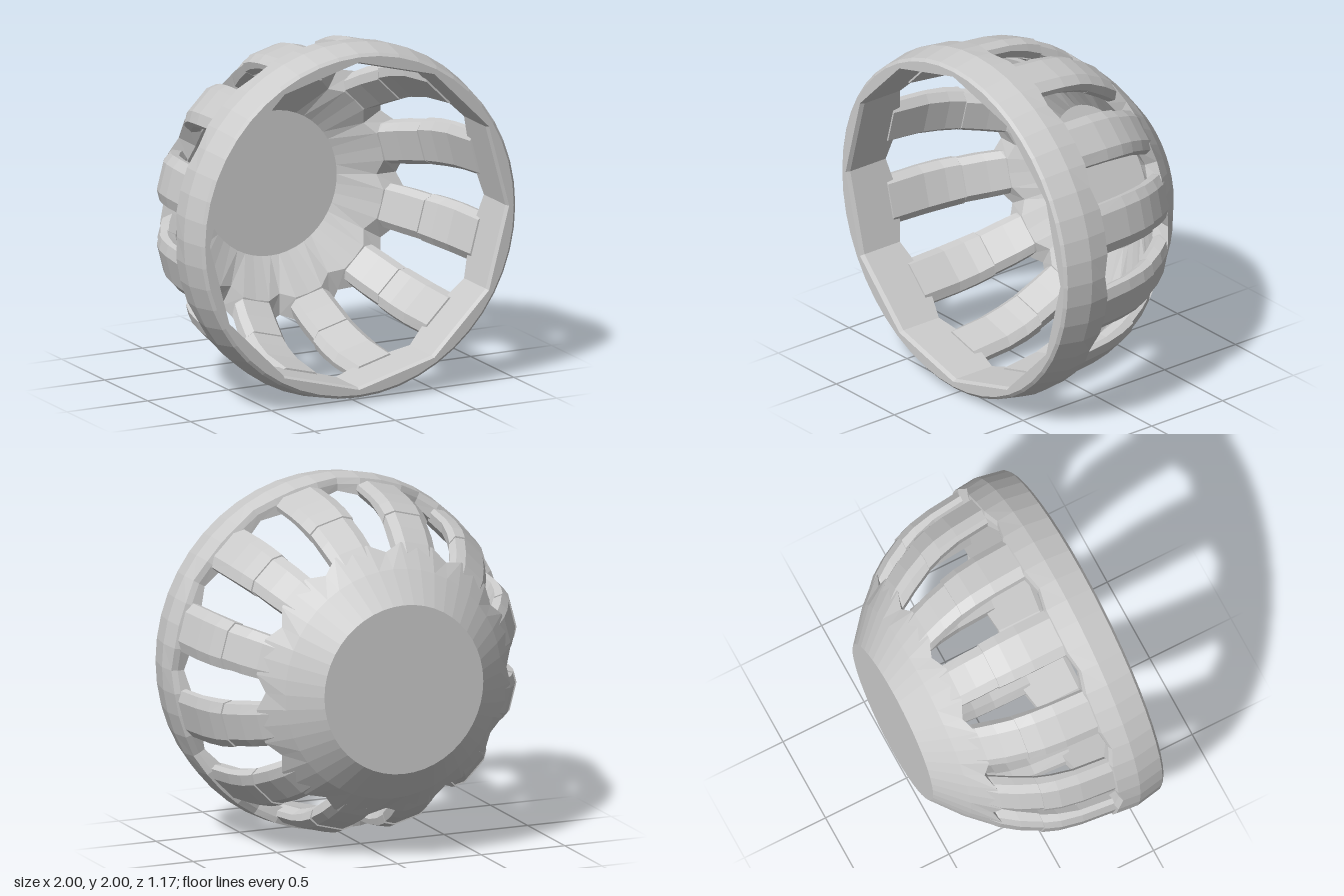
import * as THREE from 'three';

const RIBS = 12, STEPS = 48, CY = 1;
const STEP = (Math.PI * 2) / RIBS;
const material = new THREE.MeshStandardMaterial({ color: 0xcccccc, flatShading: true });

// Skin a row of cross-section loops; wrap joins last to first, otherwise the ends are capped
function loft(name, loops, wrap) {
  const n = loops[0].length, index = [];
  const count = wrap ? loops.length : loops.length - 1;
  for (let i = 0; i < count; i++) {
    const k = (i + 1) % loops.length;
    for (let j = 0; j < n; j++) {
      const a = i * n + j, b = k * n + j, c = k * n + (j + 1) % n, d = i * n + (j + 1) % n;
      index.push(a, b, c, a, c, d);
    }
  }
  if (!wrap) {
    const e = (loops.length - 1) * n;
    for (let j = 1; j < n - 1; j++) index.push(0, j, j + 1, e, e + j + 1, e + j);
  }
  const g = new THREE.BufferGeometry();
  g.setAttribute('position', new THREE.Float32BufferAttribute(loops.flat(2), 3));
  g.setIndex(index);
  g.computeVertexNormals();
  const mesh = new THREE.Mesh(g, material);
  mesh.name = name;
  return mesh;
}

// Ring whose [radius, z] profile may change with the angle
function ring(name, profile) {
  const loops = [];
  for (let i = 0; i < STEPS; i++) {
    const a = (i / STEPS) * Math.PI * 2;
    const inGap = i % (STEPS / RIBS) === 0;
    loops.push(profile(a, inGap).map(([r, z]) => [r * Math.cos(a), CY + r * Math.sin(a), z]));
  }
  return loft(name, loops, true);
}

// Rib piece: stations of [z, outer radius, inner radius, half width]
function ribPiece(name, angle, stations) {
  const c = Math.cos(angle), s = Math.sin(angle);
  return loft(name, stations.map(([z, ro, ri, w]) => [
    [ro - 0.03, -w], [ro, -0.6 * w], [ro, 0.6 * w], [ro - 0.03, w],
    [ri + 0.04, w], [ri, 0.7 * w], [ri, -0.7 * w], [ri + 0.04, -w],
  ].map(([u, t]) => [u * c - t * s, CY + u * s + t * c, z])), false);
}

export function createModel() {
  const model = new THREE.Group();
  model.name = 'openBasket';

  // Front rim: round outside, twelve flat sides inside
  model.add(ring('frontRim', (a, inGap) => {
    const off = (a % STEP) - STEP / 2;
    const inner = 0.885 / Math.cos(off);
    const back = inGap ? 0.31 : 0.285;
    return [[0.955, back], [0.988, back + 0.01], [1, 0.42], [0.972, 0.57], [0.955, 0.585],
      [inner + 0.01, 0.585], [inner, 0.56], [inner, back]];
  }));

  // Back bowl with a flat base and a scalloped front edge
  model.add(ring('backBowl', (a, inGap) => {
    const edge = inGap ? -0.345 : -0.31;
    const outer = inGap ? 0.72 : 0.765;
    return [[0, -0.585], [0.475, -0.585], [0.645, -0.44], [outer, edge],
      [inGap ? 0.6 : 0.63, edge], [0.41, -0.45], [0, -0.45]];
  }));

  // Twelve curved ribs, each in two pieces
  for (let i = 0; i < RIBS; i++) {
    const angle = (i + 0.5) * STEP;
    const rib = new THREE.Group();
    rib.name = 'rib';
    rib.add(ribPiece('ribFront', angle, [
      [0.33, 0.975, 0.875, 0.137], [0.1, 0.952, 0.85, 0.138], [-0.02, 0.928, 0.815, 0.136], [-0.11, 0.895, 0.775, 0.132],
    ]));
    rib.add(ribPiece('ribBack', angle, [
      [-0.105, 0.89, 0.77, 0.126], [-0.22, 0.83, 0.7, 0.126], [-0.31, 0.767, 0.635, 0.122], [-0.36, 0.715, 0.61, 0.115],
    ]));
    model.add(rib);
  }
  return model;
}
